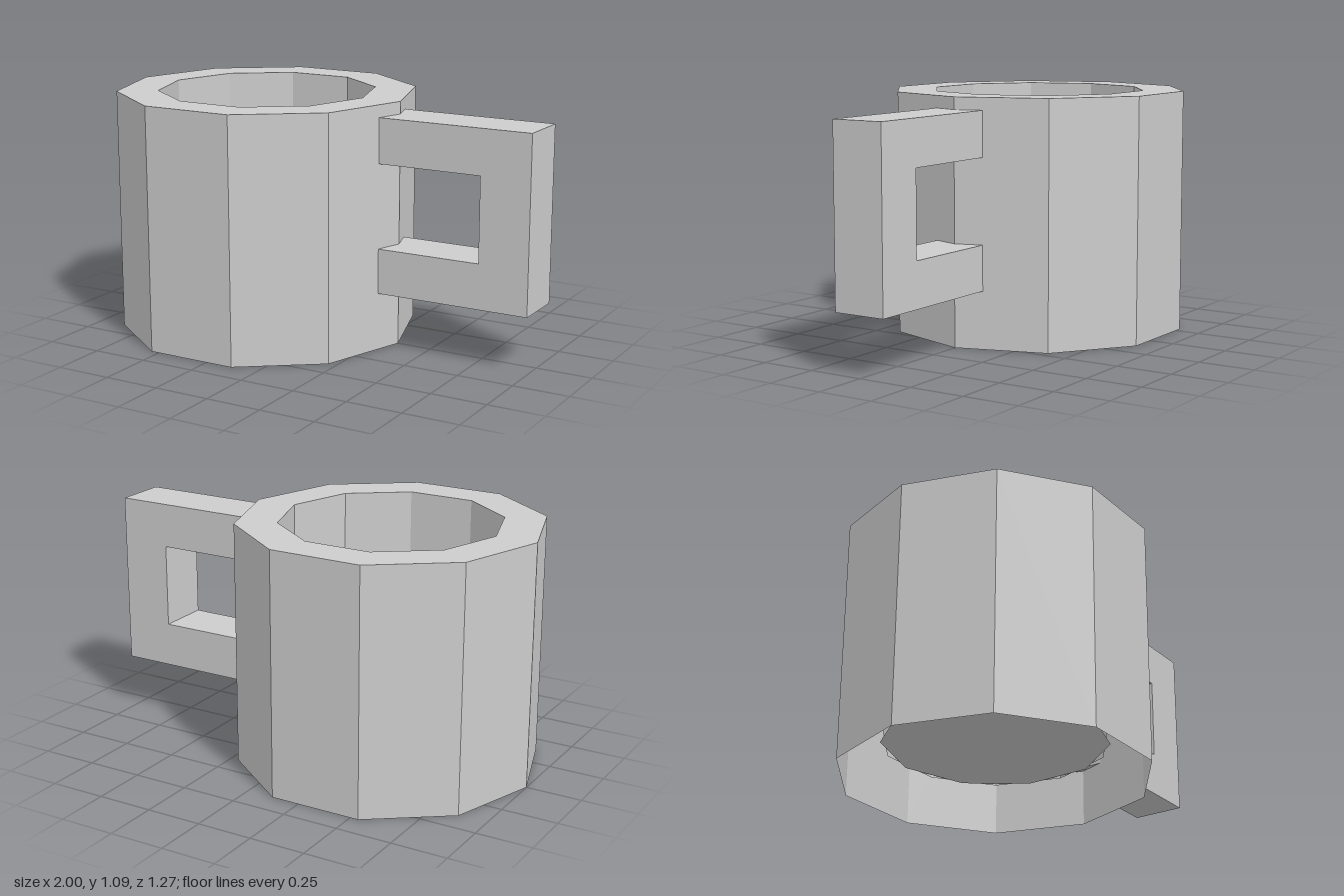
import * as THREE from 'three';

const SIDES = 10;
const CENTRE_X = -0.33;

export function createModel() {
  const model = new THREE.Group();
  model.name = 'mug';

  const clay = new THREE.MeshStandardMaterial({ color: 0xcccccc, flatShading: true, side: THREE.DoubleSide });
  clay.name = 'light grey';

  const add = (name, geometry, x = 0, y = 0, z = 0) => {
    const flat = geometry.index ? geometry.toNonIndexed() : geometry;
    flat.computeVertexNormals();
    const mesh = new THREE.Mesh(flat, clay);
    mesh.name = name;
    mesh.position.set(x, y, z);
    model.add(mesh);
  };

  // Faceted wall: outside, rim, then inside down to the floor; open underneath
  const profile = [
    [0.67, 0], [0.67, 1.085], [0.486, 1.085], [0.486, 0.16],
  ].map(([r, y]) => new THREE.Vector2(r, y));
  add('wall', new THREE.LatheGeometry(profile, SIDES, Math.PI / 2), CENTRE_X);

  // Raised floor, turned half a facet against the wall
  const floor = new THREE.CircleGeometry(0.484, SIDES, Math.PI / SIDES);
  floor.rotateX(-Math.PI / 2);
  add('floor', floor, CENTRE_X, 0.16);

  // Square C-shaped handle
  const outline = new THREE.Shape([
    [0.302, 0.255], [1, 0.255], [1, 1.03], [0.302, 1.03],
    [0.302, 0.83], [0.775, 0.83], [0.775, 0.455], [0.302, 0.455],
  ].map(([x, y]) => new THREE.Vector2(x, y)));
  add('handle', new THREE.ExtrudeGeometry(outline, { depth: 0.24, bevelEnabled: false }), 0, 0, -0.12);

  return model;
}
